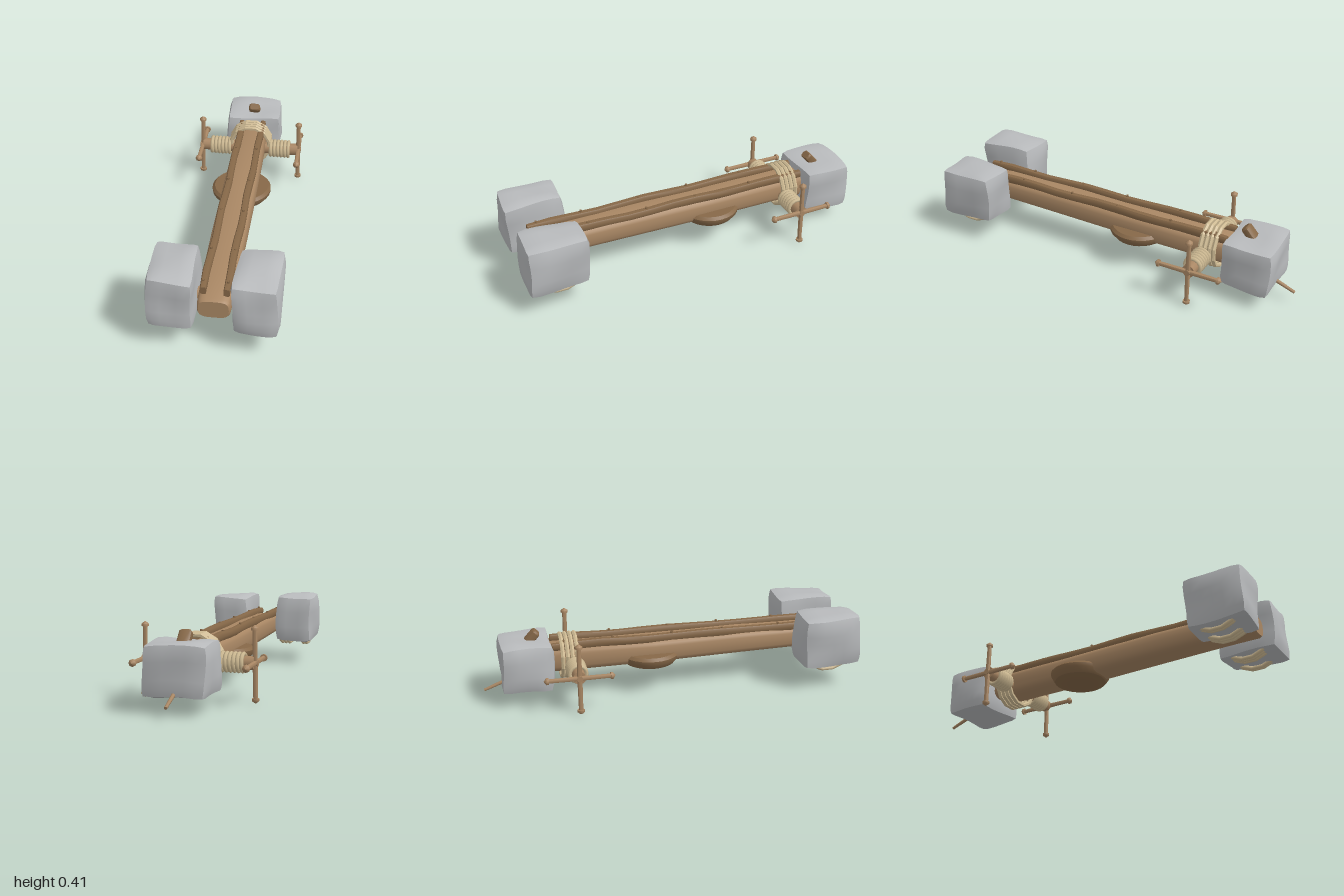
import * as THREE from 'three';
import { toCreasedNormals, mergeVertices } from 'three/addons/utils/BufferGeometryUtils.js';

export function createModel() {
  const model = new THREE.Group();
  const mat = (name, color) => {
    const m = new THREE.MeshStandardMaterial({ color });
    m.name = name;
    return m;
  };
  const wood = mat('wood', 0xa98764);
  const darkWood = mat('dark wood', 0x866848);
  const stone = mat('stone', 0xb8babc);
  const rope = mat('rope', 0xcdb992);

  const add = (name, geo, material, x = 0, y = 0, z = 0, parent = model) => {
    const m = new THREE.Mesh(geo, material);
    m.name = name;
    m.position.set(x, y, z);
    parent.add(m);
    return m;
  };

  // Loft of rounded-square sections along +z; each section is [z, x, y, halfWidth, halfHeight]
  const loft = (sections, n = 24, power = 3.5) => {
    const pos = [], idx = [];
    const soft = (v) => Math.sign(v) * Math.abs(v) ** (2 / power);
    for (const [z, x, y, w, h] of sections) {
      for (let j = 0; j < n; j++) {
        const a = (j / n) * Math.PI * 2;
        pos.push(x + w * soft(Math.cos(a)), y + h * soft(Math.sin(a)), z);
      }
    }
    const last = sections.length - 1;
    for (let i = 0; i < last; i++) {
      for (let j = 0; j < n; j++) {
        const k = (j + 1) % n, a = i * n + j, b = i * n + k, c = a + n, d = b + n;
        idx.push(a, b, d, a, d, c);
      }
    }
    for (let j = 1; j < n - 1; j++) {
      idx.push(0, j + 1, j, last * n, last * n + j, last * n + j + 1);
    }
    const g = new THREE.BufferGeometry();
    g.setAttribute('position', new THREE.Float32BufferAttribute(pos, 3));
    g.setIndex(idx);
    return toCreasedNormals(g, 0.6);
  };

  // Hewn stone block: chamfered box with a gentle wobble
  const block = (w, h, d, seed) => {
    let g = new THREE.BoxGeometry(w, h, d, 6, 6, 6);
    g.deleteAttribute('uv');
    g.deleteAttribute('normal');
    g = mergeVertices(g);
    const p = g.attributes.position, r = 0.03;
    const v = new THREE.Vector3(), core = new THREE.Vector3();
    const lim = new THREE.Vector3(w / 2 - r, h / 2 - r, d / 2 - r);
    const neg = lim.clone().negate();
    for (let i = 0; i < p.count; i++) {
      v.fromBufferAttribute(p, i);
      core.copy(v).clamp(neg, lim);
      v.sub(core).setLength(r).add(core);
      const { x, y, z } = v;
      v.x += 0.006 * Math.sin(17 * y + 11 * z + seed);
      v.y += 0.006 * Math.sin(15 * x + 14 * z + seed * 2);
      v.z += 0.006 * Math.sin(16 * y + 12 * x + seed * 3);
      p.setXYZ(i, v.x, v.y, v.z);
    }
    return toCreasedNormals(g, 0.7);
  };

  // Main beam
  add('beam', loft([
    [-0.66, 0, 0.22, 0.08, 0.062],
    [-0.64, 0, 0.22, 0.088, 0.07],
    [-0.1, 0, 0.222, 0.092, 0.068],
    [0.4, 0, 0.23, 0.09, 0.066],
    [0.75, 0, 0.23, 0.084, 0.062],
    [0.915, 0, 0.222, 0.079, 0.055],
    [0.93, 0, 0.222, 0.072, 0.047],
  ]), wood);

  // Rails along the top of the beam, with pegs
  for (const s of [-1, 1]) {
    const sections = [];
    for (let i = 0; i <= 12; i++) {
      const z = -0.64 + (i / 12) * 1.53;
      const end = i === 0 || i === 12 ? 0.85 : 1;
      const x = s * (0.06 - 0.005 * (i / 12)) + 0.003 * Math.sin(i * 1.7 + s);
      sections.push([z, x, 0.295 + 0.003 * Math.sin(i * 1.3 + s), 0.018 * end, 0.024 * end]);
    }
    add(s > 0 ? 'leftRail' : 'rightRail', loft(sections, 12), darkWood);
    for (const z of [-0.58, -0.32, 0, 0.28, 0.6, 0.84]) {
      add('railPeg', new THREE.CylinderGeometry(0.007, 0.008, 0.012, 6), darkWood, s * 0.058, 0.319, z);
    }
  }

  // Round wooden plate under the beam
  const plate = [[0, 0.137], [0.1, 0.138], [0.138, 0.15], [0.16, 0.178], [0.162, 0.198], [0.148, 0.213], [0, 0.216]]
    .map(([x, y]) => new THREE.Vector2(x, y));
  add('bottomPlate', toCreasedNormals(new THREE.LatheGeometry(plate, 28), 0.6), darkWood, 0, 0, -0.11);

  // Stone blocks
  add('leftFrontStone', block(0.222, 0.272, 0.315, 1), stone, 0.196, 0.264, 0.828);
  add('rightFrontStone', block(0.222, 0.278, 0.315, 3.6), stone, -0.199, 0.27, 0.83);
  add('backStone', block(0.315, 0.255, 0.272, 5), stone, 0, 0.205, -0.775);

  // Front axle with rope lashings showing below the stones
  const frontAxle = add('frontAxle', new THREE.CylinderGeometry(0.035, 0.035, 0.54, 12), wood, 0, 0.22, 0.82);
  frontAxle.rotation.z = Math.PI / 2;
  for (const s of [-1, 1]) {
    for (const x of [0.112, 0.134, 0.156, 0.245, 0.263]) {
      const loop = add('frontLashing', new THREE.TorusGeometry(0.11, 0.011, 6, 14), rope, s * x, 0.22, 0.82);
      loop.rotation.y = Math.PI / 2;
      loop.scale.x = 1.15;
    }
  }

  // Rope loops around the rear of the beam
  for (let i = 0; i < 4; i++) {
    const g = new THREE.TorusGeometry(0.114, 0.012, 6, 12);
    g.rotateZ(Math.PI / 12);
    add('beamLashing', toCreasedNormals(g, 0.3), rope, 0, 0.222, -0.515 - i * 0.025);
  }

  // Rear axle, coils and crossed handles
  const rearAxle = add('rearAxle', new THREE.CylinderGeometry(0.034, 0.034, 0.56, 12), wood, 0, 0.2, -0.53);
  rearAxle.rotation.z = Math.PI / 2;
  const bar = [[0, -0.192], [0.019, -0.178], [0.019, -0.166], [0.0115, -0.166], [0.013, 0],
    [0.0115, 0.166], [0.019, 0.166], [0.019, 0.178], [0, 0.192]].map(([x, y]) => new THREE.Vector2(x, y));
  const barGeo = toCreasedNormals(new THREE.LatheGeometry(bar, 8), 0.9);
  for (const s of [-1, 1]) {
    for (let i = 0; i < 6; i++) {
      const coil = add('axleCoil', new THREE.TorusGeometry(0.043, 0.011, 6, 14), rope, s * (0.122 + i * 0.0205), 0.2, -0.53);
      coil.rotation.y = Math.PI / 2;
    }
    const handle = new THREE.Group();
    handle.name = s > 0 ? 'leftHandle' : 'rightHandle';
    handle.position.set(s * 0.283, 0.193, -0.53);
    add('uprightBar', barGeo, wood, 0, 0, 0, handle).rotation.z = s * 0.015;
    const cross = add('crossBar', barGeo, wood, 0, 0.007, 0, handle);
    cross.rotation.x = Math.PI / 2;
    cross.scale.y = 0.95;
    const hub = add('hub', new THREE.CylinderGeometry(0.016, 0.016, 0.03, 8), wood, 0, 0.007, 0, handle);
    hub.rotation.z = Math.PI / 2;
    model.add(handle);
  }

  // Leaning peg on the back stone and the stick behind it
  const peg = add('topPeg', loft([
    [-0.05, 0, 0, 0.034, 0.024],
    [0.028, 0, 0, 0.033, 0.023],
    [0.037, 0, 0, 0.025, 0.018],
  ], 12), darkWood, 0, 0.34, -0.735);
  peg.rotation.x = -0.85;
  const stick = add('backStick', new THREE.CylinderGeometry(0.008, 0.011, 0.16, 8), wood, 0, 0.09, -0.925);
  stick.rotation.set(-Math.PI / 2 - 0.37, 0, 0);

  return model;
}
